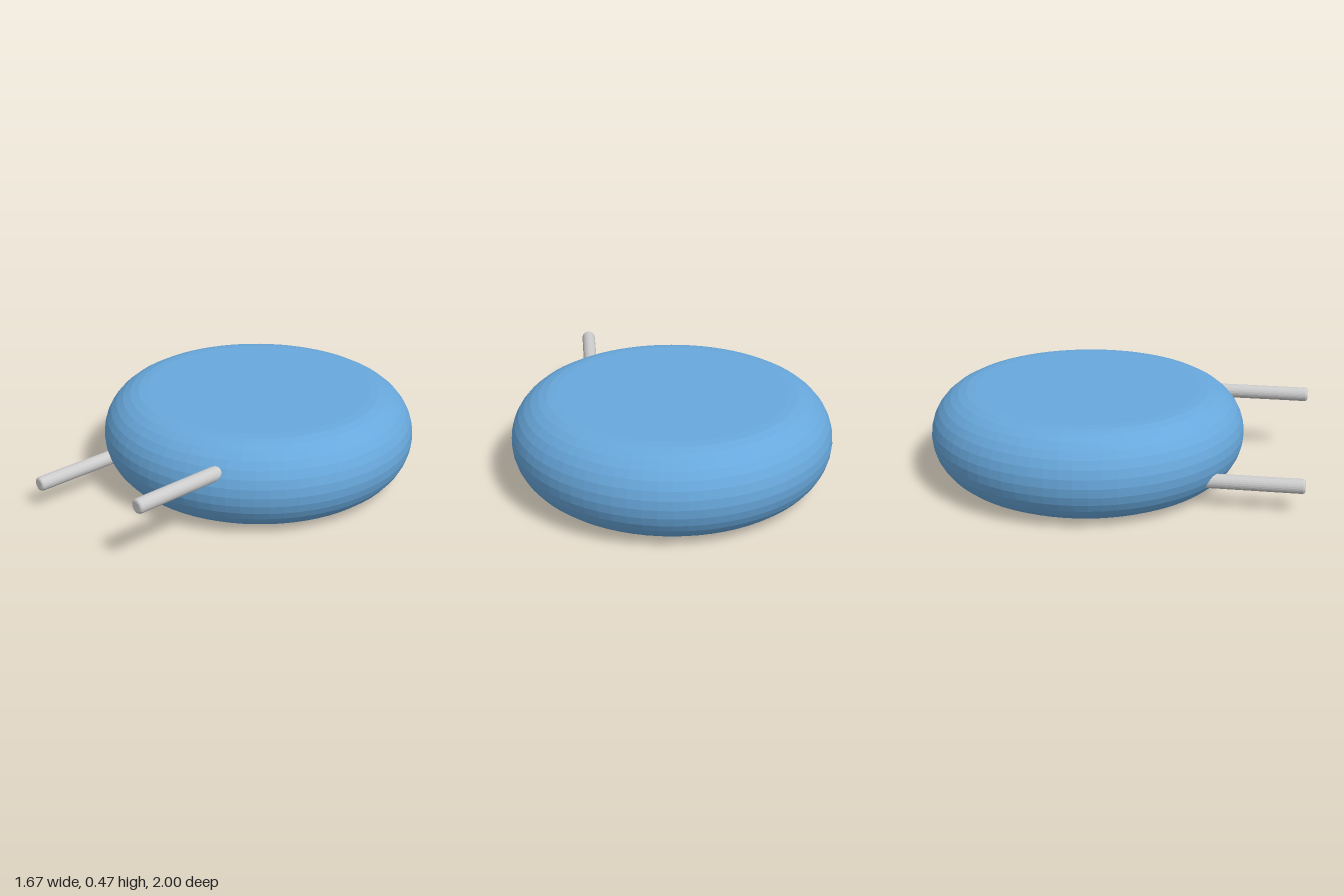
import * as THREE from 'three';

const BODY_Z = -0.165, BODY_R = 0.835, EDGE = 0.2375;

function lathe(name, points, segments, material) {
  const mesh = new THREE.Mesh(new THREE.LatheGeometry(points, segments), material);
  mesh.name = name;
  return mesh;
}

export function createModel() {
  const group = new THREE.Group();
  const blue = new THREE.MeshStandardMaterial({ color: 0x68a8dc, flatShading: true });
  const grey = new THREE.MeshStandardMaterial({ color: 0xcccccc, flatShading: true });

  // Round disc body with a fully rounded rim
  const profile = [new THREE.Vector2(0, 0)];
  const steps = 16;
  for (let i = 0; i <= steps; i++) {
    const a = -Math.PI / 2 + (Math.PI * i) / steps;
    profile.push(new THREE.Vector2(BODY_R - EDGE + EDGE * Math.cos(a), EDGE + EDGE * Math.sin(a)));
  }
  profile.push(new THREE.Vector2(0, 2 * EDGE));
  const body = lathe('discBody', profile, 72, blue);
  body.position.z = BODY_Z;
  group.add(body);

  // Two straight leads with softened tips, rooted inside the body
  const r = 0.0375, bevel = 0.012, length = 0.6;
  const pin = [[0, 0], [r, 0], [r, length - bevel], [r - 0.004, length - 0.004], [r - bevel, length], [0, length]]
    .map(([x, y]) => new THREE.Vector2(x, y));
  for (const [name, x, y] of [['leftLead', 0.405, 0.34], ['rightLead', -0.405, 0.14]]) {
    const lead = lathe(name, pin, 24, grey);
    lead.rotation.x = Math.PI / 2;
    lead.position.set(x, y, 1 - length);
    group.add(lead);
  }
  return group;
}
